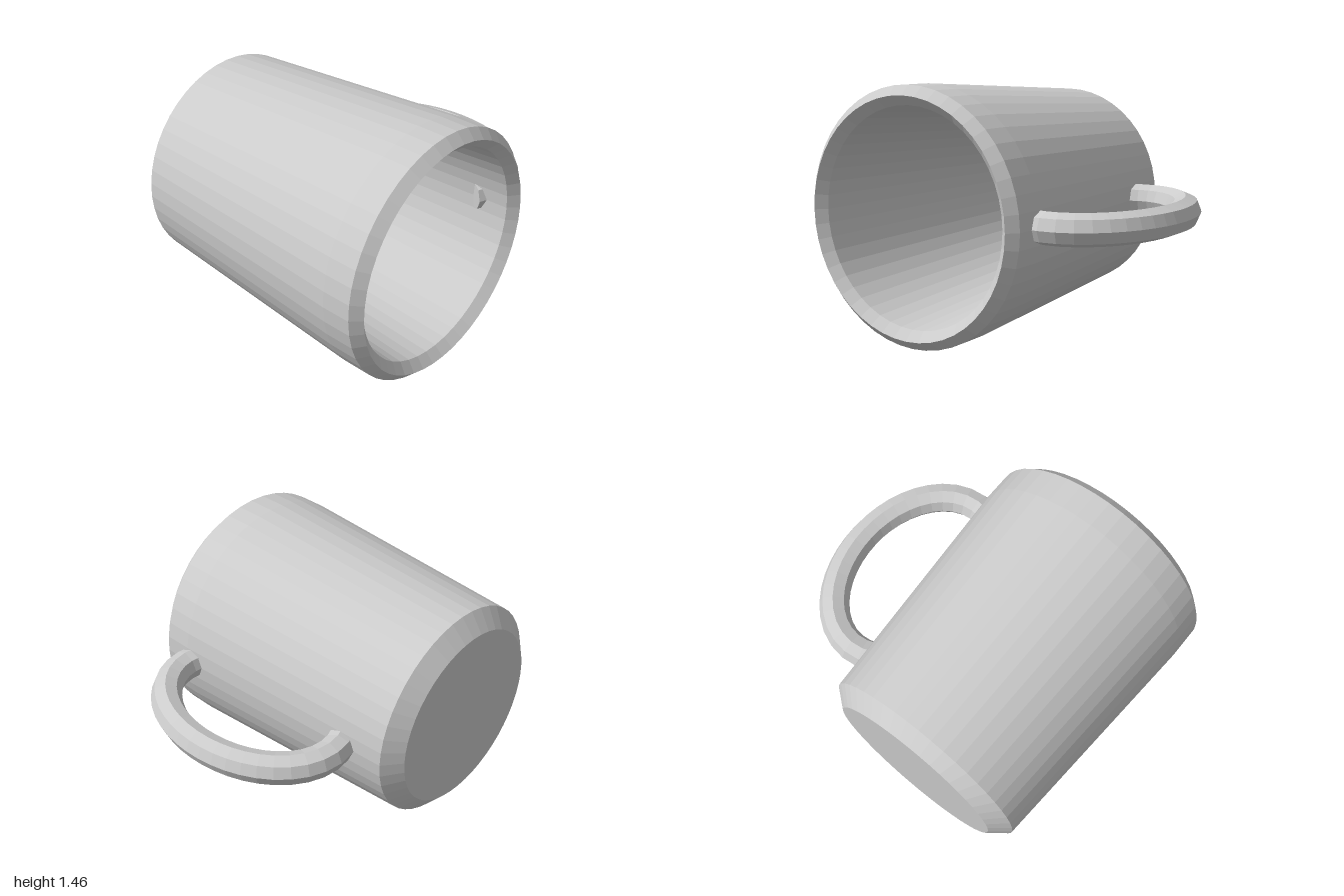
import * as THREE from 'three';

const AXIS_X = -0.27, AXIS_Y = 0.73;

// Faceted normals without touching the material
function faceted(geometry) {
  const g = geometry.toNonIndexed();
  g.computeVertexNormals();
  return g;
}

export function createModel() {
  const group = new THREE.Group();
  const grey = new THREE.MeshStandardMaterial({ color: 0xcccccc });
  grey.name = 'grey clay';

  const add = (name, geometry) => {
    const mesh = new THREE.Mesh(faceted(geometry), grey);
    mesh.name = name;
    group.add(mesh);
    return mesh;
  };

  // Cup lying on its side: outside from base to rim, then inside down to the floor
  const profile = [
    [0, -0.875], [0.535, -0.875], [0.64, -0.79], [0.73, 0.65], [0.73, 0.82],
    [0.675, 0.875], [0.62, 0.82], [0.52, -0.77], [0, -0.77],
  ].map(([r, z]) => new THREE.Vector2(r, z));
  const cup = add('cup', new THREE.LatheGeometry(profile, 48).rotateX(Math.PI / 2));
  cup.position.set(AXIS_X, AXIS_Y, 0);

  // Handle: octagonal tube along part of an ellipse, ends buried in the cup wall
  class HandleCurve extends THREE.Curve {
    getPoint(t, target = new THREE.Vector3()) {
      const a = THREE.MathUtils.degToRad(-111 + 222 * t);
      return target.set(0.49 + 0.42 * Math.cos(a), AXIS_Y, 0.045 + 0.585 * Math.sin(a));
    }
  }
  const path = new HandleCurve();
  add('handle', new THREE.TubeGeometry(path, 24, 0.09, 8, false));

  // Flat caps on both handle ends
  for (const t of [0, 1]) {
    const cap = add('handleEnd', new THREE.CircleGeometry(0.09, 8));
    const end = path.getPointAt(t);
    const outward = path.getTangentAt(t).multiplyScalar(t === 0 ? -1 : 1);
    cap.position.copy(end);
    cap.lookAt(end.clone().add(outward));
  }

  return group;
}
